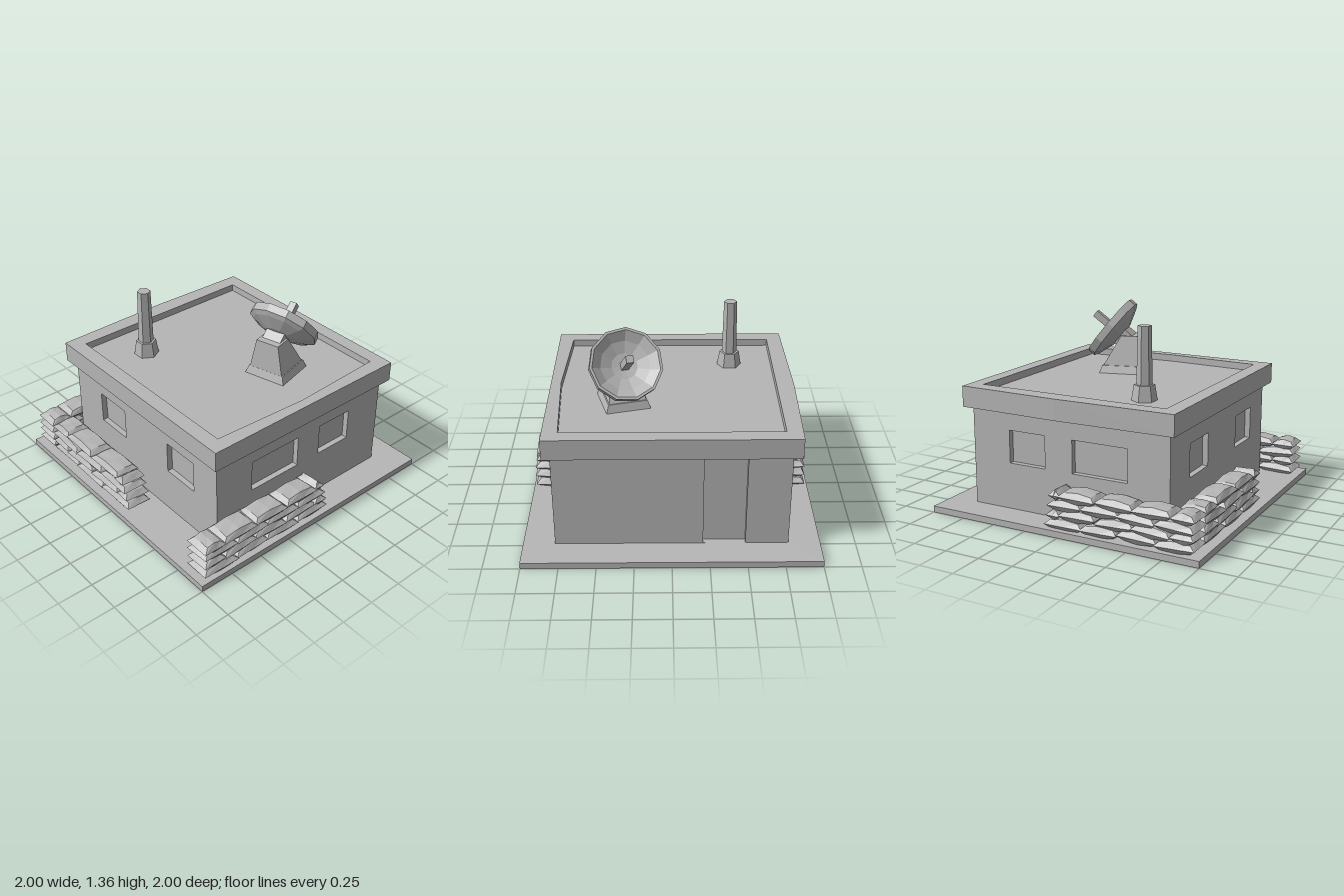
import * as THREE from 'three';

export function createModel() {
  const root = new THREE.Group();
  const concrete = new THREE.MeshStandardMaterial({ color: 0xb6b6b6, flatShading: true });
  concrete.name = 'grey concrete';

  const add = (name, geo, x = 0, y = 0, z = 0, parent = root) => {
    const m = new THREE.Mesh(geo, concrete);
    m.name = name;
    m.position.set(x, y, z);
    parent.add(m);
    return m;
  };
  const polygon = (pts) => pts.map(([x, y]) => new THREE.Vector2(x, y));
  const rect = (x0, y0, x1, y1) => polygon([[x0, y0], [x1, y0], [x1, y1], [x0, y1]]);
  const plate = (outline, holes, depth) => {
    const s = new THREE.Shape(outline);
    holes.forEach((h) => s.holes.push(new THREE.Path(h)));
    return new THREE.ExtrudeGeometry(s, { depth, bevelEnabled: false });
  };
  // Box whose top is shrunk and shifted
  const taperedBox = (bx, bz, tx, tz, h, shift = 0) => {
    const g = new THREE.BoxGeometry(1, h, 1);
    const p = g.attributes.position;
    for (let i = 0; i < p.count; i++) {
      const top = p.getY(i) > 0;
      p.setX(i, p.getX(i) * (top ? tx : bx) + (top ? shift : 0));
      p.setZ(i, p.getZ(i) * (top ? tz : bz));
    }
    return g;
  };

  // Ground slab
  add('groundSlab', new THREE.BoxGeometry(2, 0.045, 2), 0, 0.0225, 0);

  // Building core with wall panels, whose openings form recesses
  const cx = 0.045, hx = 0.745, hz = 0.785, t = 0.04, y0 = 0.04, y1 = 0.74;
  add('buildingCore', new THREE.BoxGeometry(2 * (hx - t), y1 - y0, 2 * (hz - t)), cx, (y0 + y1) / 2, 0);
  const wall = (name, half, reach, angle, openings) => {
    const g = plate(rect(-half, y0, half, y1), openings.map((o) => rect(...o)), t);
    g.translate(0, 0, reach - t);
    add(name, g, cx, 0, 0).rotation.y = angle;
  };
  const wy0 = 0.37, wy1 = 0.6;
  wall('frontWall', hx, hz, 0, [[-0.4 - cx, wy0, 0.01 - cx, wy1], [0.21 - cx, wy0, 0.49 - cx, wy1]]);
  wall('backWall', hx, hz, Math.PI, [[cx - 0.01, wy0, cx + 0.4, wy1], [cx - 0.5, wy0, cx - 0.22, wy1]]);
  wall('rightWallWithDoorway', hz, hx, Math.PI / 2, [[0.21, 0.046, 0.495, 0.733]]);
  wall('leftWall', hz, hx, -Math.PI / 2, [[-0.495, wy0, -0.21, wy1], [0.27, wy0, 0.55, wy1]]);

  // Roof: parapet ring and sunken floor
  const ring = plate(
    polygon([[-0.75, 0.835], [-0.75, -0.84], [0.1, -0.858], [0.835, -0.84], [0.835, 0.835]]),
    [polygon([[-0.645, -0.735], [0.735, -0.735], [0.735, 0.73], [0.045, 0.765], [-0.645, 0.73]])],
    0.145);
  ring.rotateX(Math.PI / 2);
  add('roofParapet', ring, 0, 0.88, 0);
  add('roofFloor', new THREE.BoxGeometry(1.44, 0.09, 1.54), 0.045, 0.785, 0.015);

  // Mast on the roof
  add('mastFoot', new THREE.CylinderGeometry(0.07, 0.088, 0.11, 6), -0.335, 0.88, -0.43);
  add('mast', new THREE.CylinderGeometry(0.046, 0.054, 0.45, 6), -0.335, 1.1, -0.43);

  // Satellite dish, turned slightly to the back
  const dish = new THREE.Group();
  dish.name = 'satelliteDish';
  dish.position.set(0.33, 0, 0.295);
  dish.rotation.y = 0.26;
  root.add(dish);
  add('dishFoot', taperedBox(0.31, 0.31, 0.27, 0.27, 0.06), -0.11, 0.855, 0, dish);
  add('dishPedestal', taperedBox(0.27, 0.26, 0.13, 0.17, 0.23, -0.06), -0.11, 0.985, 0, dish);
  const head = new THREE.Group();
  head.name = 'dishHead';
  head.position.set(0, 1.165, 0);
  head.rotation.z = -0.9;
  dish.add(head);
  const profile = polygon([[0, -0.125], [0.1, -0.115], [0.215, -0.075], [0.25, -0.055], [0.25, 0],
    [0.232, 0], [0.17, -0.045], [0.09, -0.075], [0, -0.085]]);
  add('dishBowl', new THREE.LatheGeometry(profile, 11), 0, 0, 0, head);
  add('dishFeed', new THREE.BoxGeometry(0.05, 0.22, 0.05), 0, 0.025, 0, head);
  add('dishMount', new THREE.BoxGeometry(0.13, 0.12, 0.14), 0, -0.15, 0, head);

  // Sandbags: pillow shapes stacked in staggered layers
  let seed = 7;
  const jitter = (a) => {
    seed = (seed * 16807) % 2147483647;
    return (seed / 2147483647 - 0.5) * 2 * a;
  };
  const sandbag = (len, h, w) => {
    const g = new THREE.BoxGeometry(len, h, w, 2, 2, 2);
    const p = g.attributes.position;
    for (let i = 0; i < p.count; i++) {
      const x = p.getX(i), y = p.getY(i), z = p.getZ(i);
      const outer = Math.abs(y) > h * 0.4;
      p.setX(i, outer ? x - Math.sign(x) * 0.035 : x);
      p.setZ(i, outer ? z * 0.72 : z);
      // corners droop on top and bottom
      if (outer && x !== 0) p.setY(i, y * (z !== 0 ? 0.7 : 0.85));
    }
    return g;
  };
  const sandbagRow = (name, from, to, x, z, angle, count) => {
    const row = new THREE.Group();
    row.name = name;
    row.position.set(x, 0, z);
    row.rotation.y = angle;
    root.add(row);
    const step = (to - from) / count;
    for (let layer = 0; layer < 4; layer++) {
      const cuts = [from];
      for (let c = from + step * (layer % 2 ? 0.6 : 1); c < to - 0.05; c += step) cuts.push(c);
      cuts.push(to - layer * 0.012);
      for (let i = 0; i + 1 < cuts.length; i++) {
        const len = cuts[i + 1] - cuts[i];
        const bag = add('sandbag', sandbag(len + 0.012, 0.08, 0.185),
          (cuts[i] + cuts[i + 1]) / 2, 0.078 + layer * 0.063 + jitter(0.004), jitter(0.006), row);
        bag.rotation.set(jitter(0.05), jitter(0.04), jitter(0.05));
      }
    }
  };
  sandbagRow('frontSandbags', -0.95, 0.12, 0, 0.885, 0, 4);
  sandbagRow('backSandbags', -0.95, 0.11, 0, -0.885, 0, 4);
  sandbagRow('leftSandbags', -0.79, 0.13, -0.86, 0, -Math.PI / 2, 3);

  return root;
}
